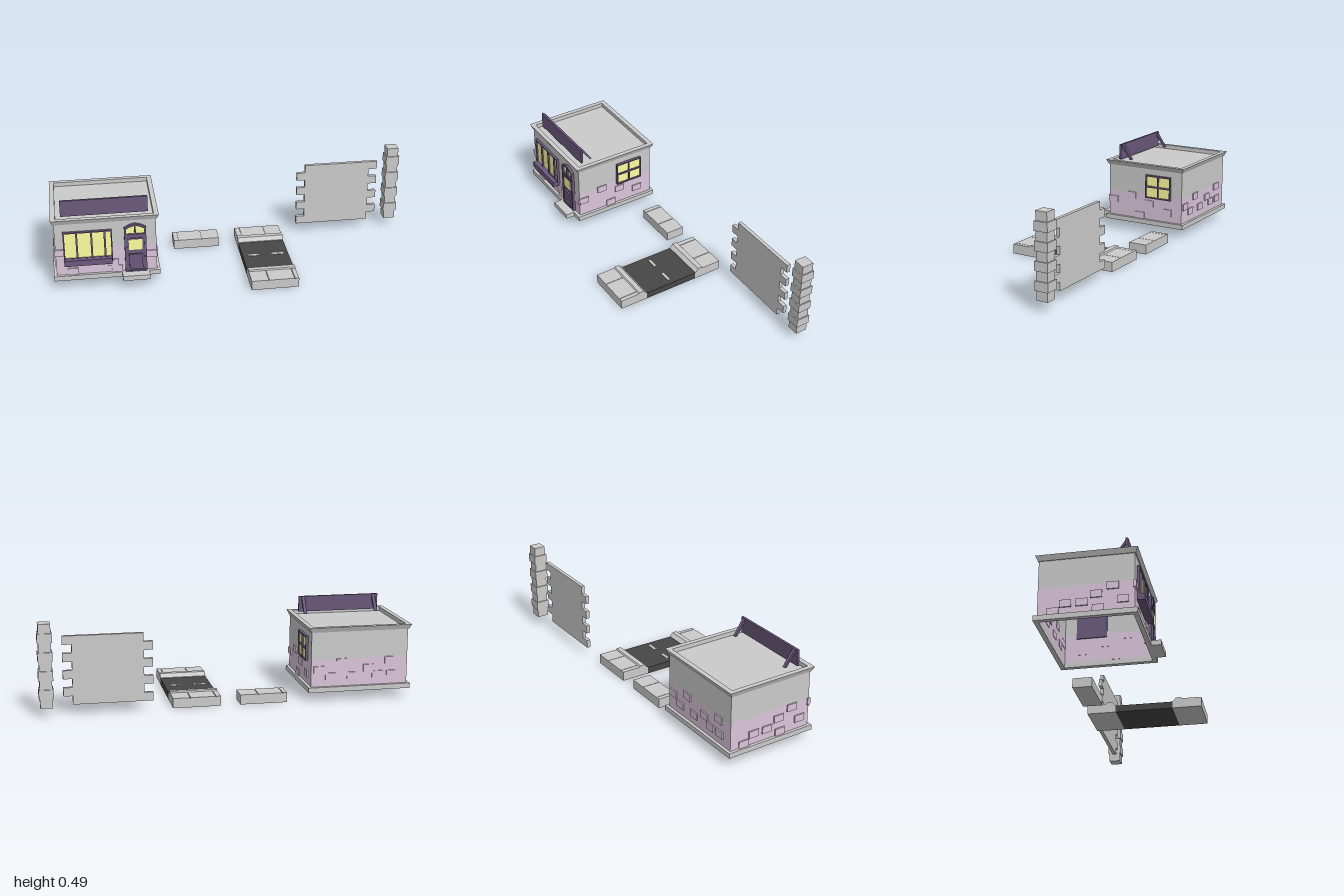
import * as THREE from 'three';

const paint = (color) => new THREE.MeshStandardMaterial({ color, flatShading: true, side: THREE.DoubleSide });
const GREY = paint(0xcccccc), LILAC = paint(0xdbc6db), PURPLE = paint(0x6b5a7d);
const YELLOW = paint(0xffffa0), ASPHALT = paint(0x474747);

function add(parent, name, geometry, material) {
  const mesh = new THREE.Mesh(geometry, material);
  mesh.name = name;
  parent.add(mesh);
  return mesh;
}

// Box given by its limits
function box(parent, name, material, x0, x1, y0, y1, z0, z1) {
  const mesh = add(parent, name, new THREE.BoxGeometry(x1 - x0, y1 - y0, z1 - z0), material);
  mesh.position.set((x0 + x1) / 2, (y0 + y1) / 2, (z0 + z1) / 2);
  return mesh;
}

function outline(points) {
  return new THREE.Shape(points.map(([x, y]) => new THREE.Vector2(x, y)));
}

function slab(shape, depth) {
  return new THREE.ExtrudeGeometry(shape, { depth, bevelEnabled: false });
}

// Shop footprint: centre and half sizes
const CX = -0.7115, CZ = -0.06, HX = 0.2675, HZ = 0.237;

// Closed profile of [outward offset, height] swept around the footprint
function sweep(profile) {
  const corners = [[1, 1], [1, -1], [-1, -1], [-1, 1]];
  const at = (c, [o, y]) => [CX + c[0] * (HX + o), y, CZ + c[1] * (HZ + o)];
  const positions = [];
  corners.forEach((c, i) => {
    const d = corners[(i + 1) % 4];
    profile.forEach((p, j) => {
      const q = profile[(j + 1) % profile.length];
      positions.push(...at(c, p), ...at(d, p), ...at(d, q), ...at(c, p), ...at(d, q), ...at(c, q));
    });
  });
  const g = new THREE.BufferGeometry();
  g.setAttribute('position', new THREE.Float32BufferAttribute(positions, 3));
  g.computeVertexNormals();
  return g;
}

// Window: backing, glass and a frame with one hole per pane
function windowUnit(parent, name, x0, x1, y0, y1, panes) {
  const g = new THREE.Group();
  g.name = name;
  box(g, name + 'Backing', PURPLE, x0, x1, y0, y1, -0.014, 0.002);
  box(g, name + 'Glass', YELLOW, x0 + 0.003, x1 - 0.003, y0 + 0.003, y1 - 0.003, 0.002, 0.007);
  const frame = outline([[x0, y0], [x1, y0], [x1, y1], [x0, y1]]);
  for (const [a, b, c, d] of panes) frame.holes.push(outline([[a, c], [a, d], [b, d], [b, c]]));
  add(g, name + 'Frame', slab(frame, 0.015), PURPLE);
  parent.add(g);
}

function buildShop() {
  const shop = new THREE.Group();
  shop.name = 'shop';
  const band = (y0, y1, o, i) => sweep([[o, y0], [o, y1], [i, y1], [i, y0]]);
  add(shop, 'plinth', band(0.053, 0.08, 0.016, -0.008), GREY);
  add(shop, 'lowerWalls', band(0.08, 0.23, 0, -0.008), LILAC);
  add(shop, 'upperWalls', band(0.23, 0.38, 0, -0.008), GREY);
  add(shop, 'cornice', sweep([[0.004, 0.38], [0.016, 0.407], [-0.01, 0.407], [-0.01, 0.38]]), GREY);
  box(shop, 'roof', GREY, CX - HX, CX + HX, 0.38, 0.384, CZ - HZ, CZ + HZ);
  box(shop, 'doorstep', GREY, -0.632, -0.487, 0.053, 0.08, 0.175, 0.243);

  // Wall frames: local x runs to the right seen from outside, local z points outward
  const wall = (name, x, z, turn) => {
    const g = new THREE.Group();
    g.name = name;
    g.position.set(x, 0, z);
    g.rotation.y = turn;
    shop.add(g);
    return g;
  };
  const front = wall('frontWallDetails', CX, CZ + HZ, 0);
  const left = wall('leftWallDetails', CX + HX, CZ, Math.PI / 2);
  const back = wall('backWallDetails', CX, CZ - HZ, Math.PI);
  const right = wall('rightWallDetails', CX - HX, CZ, -Math.PI / 2);

  // Raised bricks: [centre along wall, row]
  const bricks = [
    [front, [[-0.245, 3], [-0.18, 0], [0.035, 1], [0.055, 0], [0.24, 2]]],
    [left, [[-0.208, 2], [-0.09, 3], [0.027, 2], [0.144, 1], [-0.031, 0]]],
    [back, [[-0.225, 2], [-0.1, 3], [-0.16, 1], [-0.04, 1], [0.05, 2], [0.1, 1], [0.17, 3], [0.18, 1]]],
    [right, [[-0.16, 0], [-0.1, 1], [-0.02, 1], [0.05, 2], [0.13, 3], [0.18, 1], [0.06, 0]]],
  ];
  for (const [side, list] of bricks)
    for (const [u, row] of list)
      box(side, 'brick', LILAC, u - 0.029, u + 0.029, 0.08 + row * 0.038, 0.118 + row * 0.038, -0.01, 0.007);

  // Display window with sill box
  const columns = [[-0.217, -0.158], [-0.148, -0.08], [-0.07, -0.01], [0, 0.027]];
  windowUnit(front, 'displayWindow', -0.2245, 0.0335, 0.15, 0.335,
    columns.map(([a, b]) => [a, b, 0.182, 0.328]));
  box(front, 'windowSill', PURPLE, -0.2245, 0.0285, 0.148, 0.181, 0.01, 0.04);

  // Side window, two by two panes
  const panes = [];
  for (const [a, b] of [[0.014, 0.085], [0.092, 0.162]])
    for (const [c, d] of [[0.217, 0.273], [0.282, 0.338]]) panes.push([a, b, c, d]);
  windowUnit(left, 'sideWindow', 0.008, 0.168, 0.21, 0.346, panes);

  // Door with arched fanlight
  const door = new THREE.Group();
  door.name = 'door';
  door.position.x = 0.1555;
  const arch = outline([[-0.058, 0.08], [0.058, 0.08], [0.058, 0.34], [0.03, 0.355],
    [0, 0.363], [-0.03, 0.355], [-0.058, 0.34]]);
  const backing = add(door, 'doorBacking', slab(arch, 0.016), PURPLE);
  backing.position.z = -0.014;
  const frame = arch.clone();
  for (const s of [-1, 1])
    frame.holes.push(outline([[s * 0.004, 0.303], [s * 0.048, 0.303], [s * 0.048, 0.333],
      [s * 0.028, 0.344], [s * 0.004, 0.351]]));
  frame.holes.push(outline([[-0.046, 0.083], [0.046, 0.083], [0.046, 0.292], [-0.046, 0.292]]));
  add(door, 'doorFrame', slab(frame, 0.016), PURPLE);
  box(door, 'fanlightGlass', YELLOW, -0.05, 0.05, 0.3, 0.336, 0.002, 0.007);
  const glassTop = add(door, 'fanlightTop', slab(outline([[-0.05, 0.33], [0.05, 0.33], [0.028, 0.35], [0, 0.357], [-0.028, 0.35]]), 0.004), YELLOW);
  glassTop.position.z = 0.0028;
  box(door, 'doorLeaf', PURPLE, -0.046, 0.046, 0.083, 0.292, 0, 0.01);
  box(door, 'doorPanel', PURPLE, -0.036, 0.036, 0.095, 0.185, 0.01, 0.02);
  box(door, 'doorWindowTrim', PURPLE, -0.042, 0.042, 0.204, 0.277, 0.01, 0.014);
  box(door, 'doorGlass', YELLOW, -0.036, 0.036, 0.21, 0.271, 0.01, 0.016);
  front.add(door);

  // Sign board and its two sloping braces
  const side = (name, points, x0, x1) => {
    const mesh = add(shop, name, slab(outline(points), x1 - x0), PURPLE);
    mesh.rotation.y = -Math.PI / 2;
    mesh.position.x = x1;
  };
  side('signBoard', [[0.125, 0.405], [0.137, 0.405], [0.135, 0.493], [0.122, 0.493]], -0.941, -0.481);
  for (const x of [-0.915, -0.505])
    side('signBrace', [[0.061, 0.405], [0.074, 0.405], [0.125, 0.478], [0.125, 0.493], [0.121, 0.493]], x - 0.009, x + 0.009);
  return shop;
}

// Pavement of slabs split by narrow grooves
function pavement(parent, x0, x1, z0, z1, joints) {
  box(parent, 'pavementBed', GREY, x0, x1, 0, 0.049, z0, z1);
  const edges = [x0 - 0.0015, ...joints, x1 + 0.0015];
  for (let i = 0; i + 1 < edges.length; i++)
    box(parent, 'pavementSlab', GREY, edges[i] + 0.0015, edges[i + 1] - 0.0015, 0.049, 0.053, z0, z1);
}

function buildStreet() {
  const street = new THREE.Group();
  street.name = 'street';
  const x0 = 0.043, x1 = 0.3, mid = 0.035;
  box(street, 'road', ASPHALT, x0, x1, 0, 0.037, mid - 0.157, mid + 0.157);
  for (const [a, b] of [[0.075, 0.135], [0.207, 0.272]])
    box(street, 'laneDash', GREY, a, b, 0.037, 0.039, 0.025, 0.04);
  pavement(street, x0, x1, 0.242, 0.35, [0.137, 0.277]);
  pavement(street, x0, x1, -0.28, -0.172, [0.07, 0.207]);
  // Kerbs, mirrored about the middle of the road
  for (const s of [-1, 1]) {
    const points = [[0.157, 0], [0.208, 0], [0.208, 0.053], [0.203, 0.06], [0.176, 0.06], [0.171, 0.053], [0.157, 0.04]];
    const kerb = add(street, 'kerb', slab(outline(points.map(([z, y]) => [mid + s * z, y])), x1 - x0), GREY);
    kerb.rotation.y = -Math.PI / 2;
    kerb.position.x = x1;
  }
  return street;
}

export function createModel() {
  const model = new THREE.Group();
  model.name = 'streetKit';
  model.add(buildShop(), buildStreet());

  const path = new THREE.Group();
  path.name = 'pavementPiece';
  pavement(path, -0.318, -0.062, -0.28, -0.175, [-0.294, -0.16]);
  model.add(path);

  // Wall panel with interlocking teeth on alternating rows
  const step = 0.0456, y0 = 0.055, rightEdge = [], leftEdge = [];
  for (let i = 0; i < 8; i++) {
    const a = y0 + i * step, b = a + step, odd = i % 2;
    rightEdge.push([odd ? 0.873 : 0.825, a], [odd ? 0.873 : 0.825, b]);
    leftEdge.unshift([odd ? 0.453 : 0.406, b], [odd ? 0.453 : 0.406, a]);
  }
  add(model, 'wallPanel', slab(outline([...rightEdge, ...leftEdge]), 0.02), GREY).position.z = -0.3;

  // Corner pillar of alternating blocks
  const pillar = new THREE.Group();
  pillar.name = 'cornerPillar';
  for (let i = 0; i < 9; i++) {
    const h = i % 2 ? 0.038 : 0.032, y = 0.053 + i * 0.0491;
    box(pillar, 'pillarBlock', GREY, 0.962 - h, 0.962 + h, y, y + 0.0491, -0.3085 - h, -0.3085 + h);
  }
  model.add(pillar);
  return model;
}
